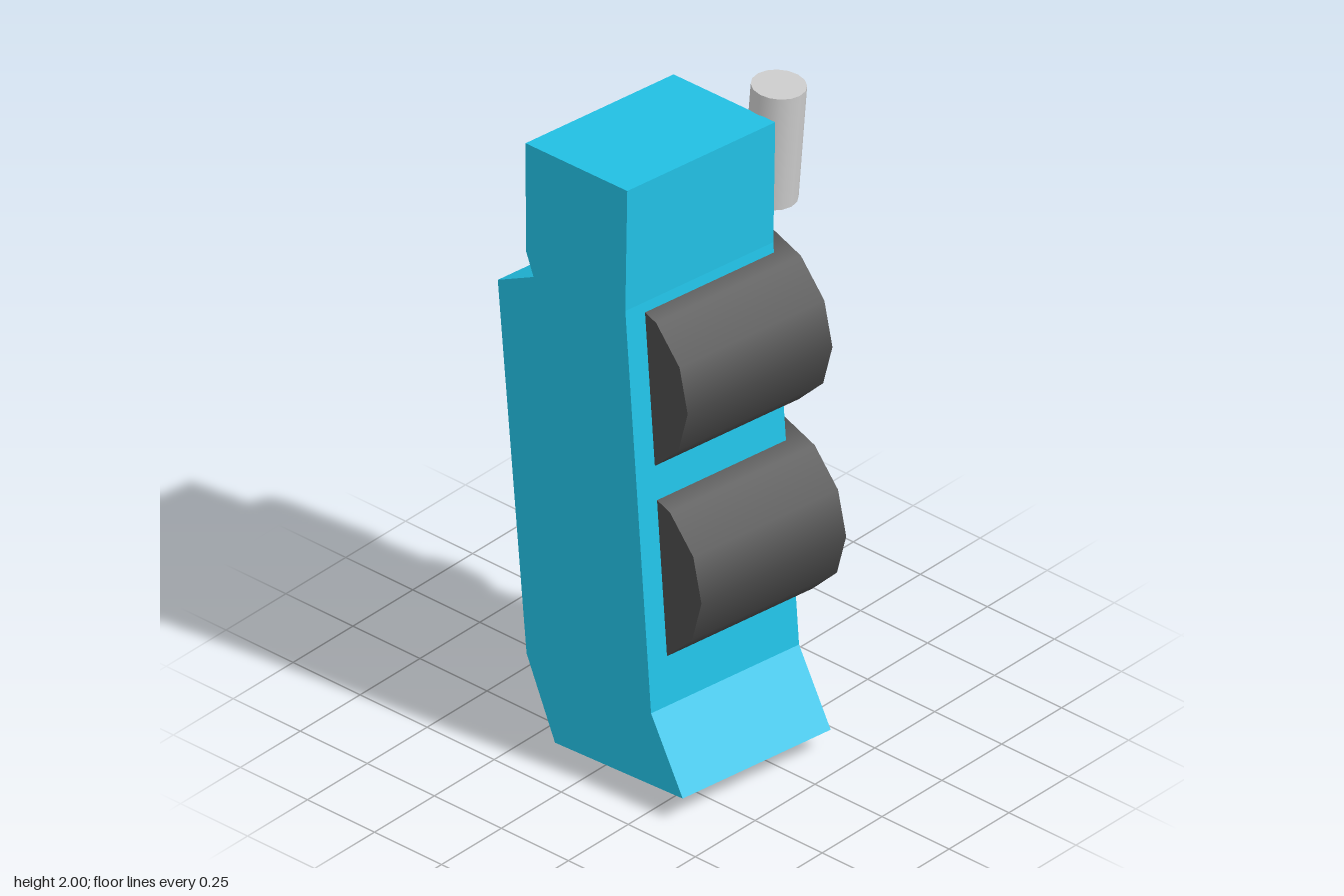
import * as THREE from 'three';

const blue = new THREE.MeshStandardMaterial({ color: 0x22c2e6 });
const dark = new THREE.MeshStandardMaterial({ color: 0x4a4a4a });
const grey = new THREE.MeshStandardMaterial({ color: 0xcccccc });

function add(parent, name, geometry, material, x = 0, y = 0, z = 0) {
  const mesh = new THREE.Mesh(geometry, material);
  mesh.name = name;
  mesh.position.set(x, y, z);
  parent.add(mesh);
  return mesh;
}

// Extrudes a side profile of [z, y] points across x, from x0 to x1.
function slab(points, x0, x1) {
  const shape = new THREE.Shape(points.map(([z, y]) => new THREE.Vector2(z, y)));
  const geometry = new THREE.ExtrudeGeometry(shape, { depth: x1 - x0, bevelEnabled: false });
  return geometry.rotateY(-Math.PI / 2).translate(x1, 0, 0);
}

// Depth of the sloping lower back face at a given height.
const backZ = (y) => -0.398 + 0.1216 * (1.4 - y);

// Side profile of the casing, optionally with its recesses in the back.
function casingProfile(lowerRecess, upperRecess) {
  const depth = 0.095;
  return [
    [0.398, 0.075], [0.262, 0.29], [0.132, 1.55], [0.133, 1.945], [-0.291, 1.9],
    ...(upperRecess ? [[-0.289, 1.83], [-0.21, 1.83], [-0.205, 1.56], [-0.283, 1.56]] : []),
    [-0.283, 1.55], [-0.25, 1.48],
    ...(upperRecess ? [[-0.25, 1.45], [-0.385, 1.375]] : [[-0.398, 1.4]]),
    ...(lowerRecess ? [[backZ(1.19), 1.19], [backZ(1.19) + depth, 1.19],
      [backZ(0.5) + depth, 0.5], [backZ(0.5), 0.5]] : []),
    [-0.257, 0.24], [-0.134, 0.005],
  ];
}

// Drum sunk into the front and standing out at one side, with a domed hub.
function roller(y, z) {
  const group = new THREE.Group();
  group.name = 'roller';
  const length = 0.54;
  const drum = new THREE.CylinderGeometry(0.272, 0.272, length, 12).rotateZ(Math.PI / 2);
  add(group, 'drum', drum, dark, 0.335 - length / 2);
  const hub = add(group, 'hub', new THREE.SphereGeometry(1, 16, 12), grey, 0.335, 0, 0.01);
  hub.scale.set(0.078, 0.13, 0.13);
  group.position.set(0, y, z);
  return group;
}

export function createModel() {
  const model = new THREE.Group();
  model.name = 'model';

  // The whole casing is turned and leans slightly sideways.
  const yaw = new THREE.Group();
  yaw.name = 'turnedAssembly';
  yaw.rotation.y = -0.113;
  model.add(yaw);
  const casing = new THREE.Group();
  casing.name = 'casing';
  casing.position.x = -0.074;
  casing.rotation.z = -0.016;
  yaw.add(casing);

  // Casing in slabs: plain sides, then the lower recess, then both recesses in the middle.
  add(casing, 'casingMiddle', slab(casingProfile(true, true), -0.14, 0.14), blue);
  for (const side of [-1, 1]) {
    const mirrored = (a, b) => [side * a, side * b].sort((p, q) => p - q);
    add(casing, 'casingInner', slab(casingProfile(true, false), ...mirrored(0.14, 0.21)), blue);
    add(casing, 'casingSide', slab(casingProfile(false, false), ...mirrored(0.21, 0.276)), blue);
  }

  // Grey panel in the upper recess
  add(casing, 'screen', new THREE.BoxGeometry(0.279, 0.269, 0.02), grey, 0, 1.695, -0.212);

  // Wedge ribs in the lower recess
  for (const y of [1.085, 0.885, 0.685]) {
    const z = backZ(y);
    const wedge = [[z + 0.11, y + 0.088], [z + 0.035, y + 0.02], [z + 0.11, y - 0.088]];
    add(casing, 'rib', slab(wedge, -0.19, 0.18), grey);
  }

  // Rollers on the front
  casing.add(roller(1.27, 0.046), roller(0.68, 0.114));

  // Small upright cylinder at the upper front corner
  const bottom = new THREE.Vector3(0.284, 1.632, 0.08);
  const top = new THREE.Vector3(0.303, 1.996, 0.095);
  const axis = top.clone().sub(bottom);
  const post = add(model, 'post', new THREE.CylinderGeometry(0.079, 0.079, axis.length(), 16), grey);
  post.position.copy(bottom).add(top).multiplyScalar(0.5);
  post.quaternion.setFromUnitVectors(new THREE.Vector3(0, 1, 0), axis.normalize());

  return model;
}
